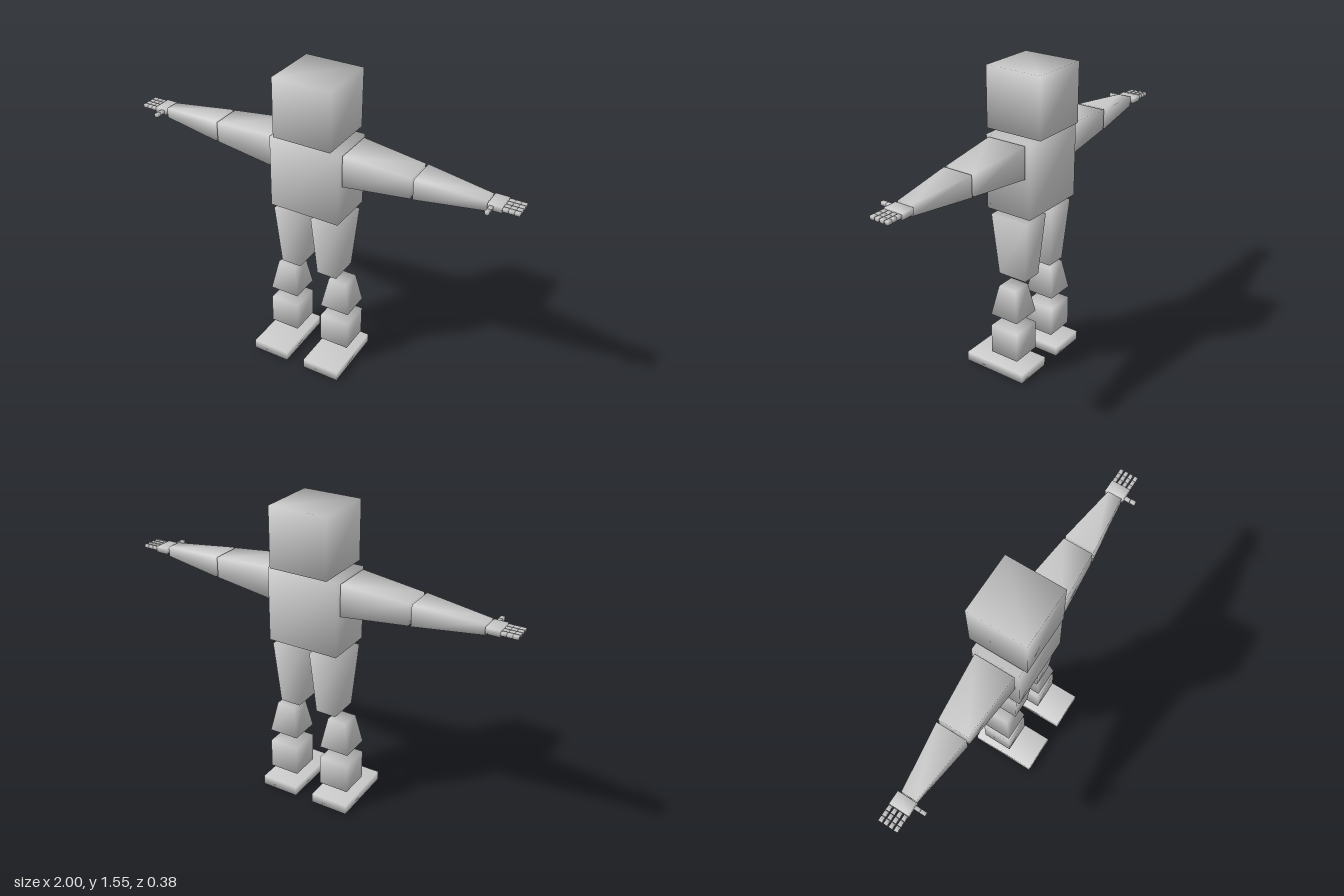
import * as THREE from 'three';
import { mergeVertices } from 'three/addons/utils/BufferGeometryUtils.js';

const material = new THREE.MeshStandardMaterial({ color: 0xcccccc });

// Six-sided block with shared, smooth-shaded corners. It tapers along `axis`
// from rectangle `a` to rectangle `b`; each is [min, max] for x, y and z,
// and on the taper axis both hold the same two ends. side -1 mirrors x.
function block(name, axis, a, b = a, side = 1) {
  let geo = new THREE.BoxGeometry(2, 2, 2);
  geo.deleteAttribute('normal');
  geo.deleteAttribute('uv');
  geo = mergeVertices(geo);
  const p = geo.attributes.position;
  for (let i = 0; i < p.count; i++) {
    const sign = [p.getX(i) * side, p.getY(i), p.getZ(i)];
    const box = sign[axis] < 0 ? a : b;
    const [x, y, z] = sign.map((s, k) => box[k][s < 0 ? 0 : 1]);
    p.setXYZ(i, x * side, y, z);
  }
  geo.computeVertexNormals();
  const mesh = new THREE.Mesh(geo, material);
  mesh.name = name;
  return mesh;
}

function createArm(side) {
  const arm = new THREE.Group();
  const upper = [0.19, 0.515], lower = [0.528, 0.852];
  const elbowY = [1.104, 1.208], elbowZ = [-0.108, 0.045];
  arm.add(
    block('upperArm', 0, [upper, [1.077, 1.236], [-0.135, 0.071]], [upper, elbowY, elbowZ], side),
    block('forearm', 0, [lower, elbowY, elbowZ], [lower, [1.131, 1.181], [-0.068, 0.006]], side),
    block('palm', 0, [[0.855, 0.92], [1.146, 1.175], [-0.084, 0.014]], undefined, side)
  );
  // Four fingers of three joints each
  for (let f = 0; f < 4; f++) {
    const z = -0.074 + f * 0.026;
    for (let j = 0; j < 3; j++) {
      const x = 0.922 + j * 0.0265;
      arm.add(block('finger', 0, [[x, x + 0.025], [1.154, 1.17], [z - 0.009, z + 0.009]], undefined, side));
    }
  }
  // Thumb pointing forward
  for (let j = 0; j < 2; j++) {
    const z = 0.015 + j * 0.029;
    arm.add(block('thumb', 2, [[0.865, 0.883], [1.154, 1.17], [z, z + 0.027]], undefined, side));
  }
  return arm;
}

function createLeg(side) {
  const leg = new THREE.Group();
  const thighY = [0.522, 0.845], kneeY = [0.32, 0.478];
  const shinX = [0.07, 0.226], shinZ = [-0.11, 0.047];
  leg.add(
    block('thigh', 1, [[0.049, 0.156], thighY, shinZ], [[0.025, 0.18], thighY, [-0.135, 0.071]], side),
    block('knee', 1, [shinX, kneeY, shinZ], [[0.098, 0.197], kneeY, [-0.083, 0.018]], side),
    block('shin', 1, [shinX, [0.1, 0.256], shinZ], undefined, side),
    block('foot', 1, [[0.05, 0.247], [0, 0.05], [-0.156, 0.19]], undefined, side)
  );
  return leg;
}

export function createModel() {
  const model = new THREE.Group();
  model.name = 'blockFigure';
  model.add(
    block('head', 1, [[-0.15, 0.15], [1.259, 1.555], [-0.188, 0.111]]),
    block('torso', 1, [[-0.183, 0.183], [0.874, 1.244], [-0.156, 0.09]])
  );
  for (const [side, label] of [[1, 'left'], [-1, 'right']]) {
    const arm = createArm(side), leg = createLeg(side);
    arm.name = label + 'Arm';
    leg.name = label + 'Leg';
    model.add(arm, leg);
  }
  return model;
}
